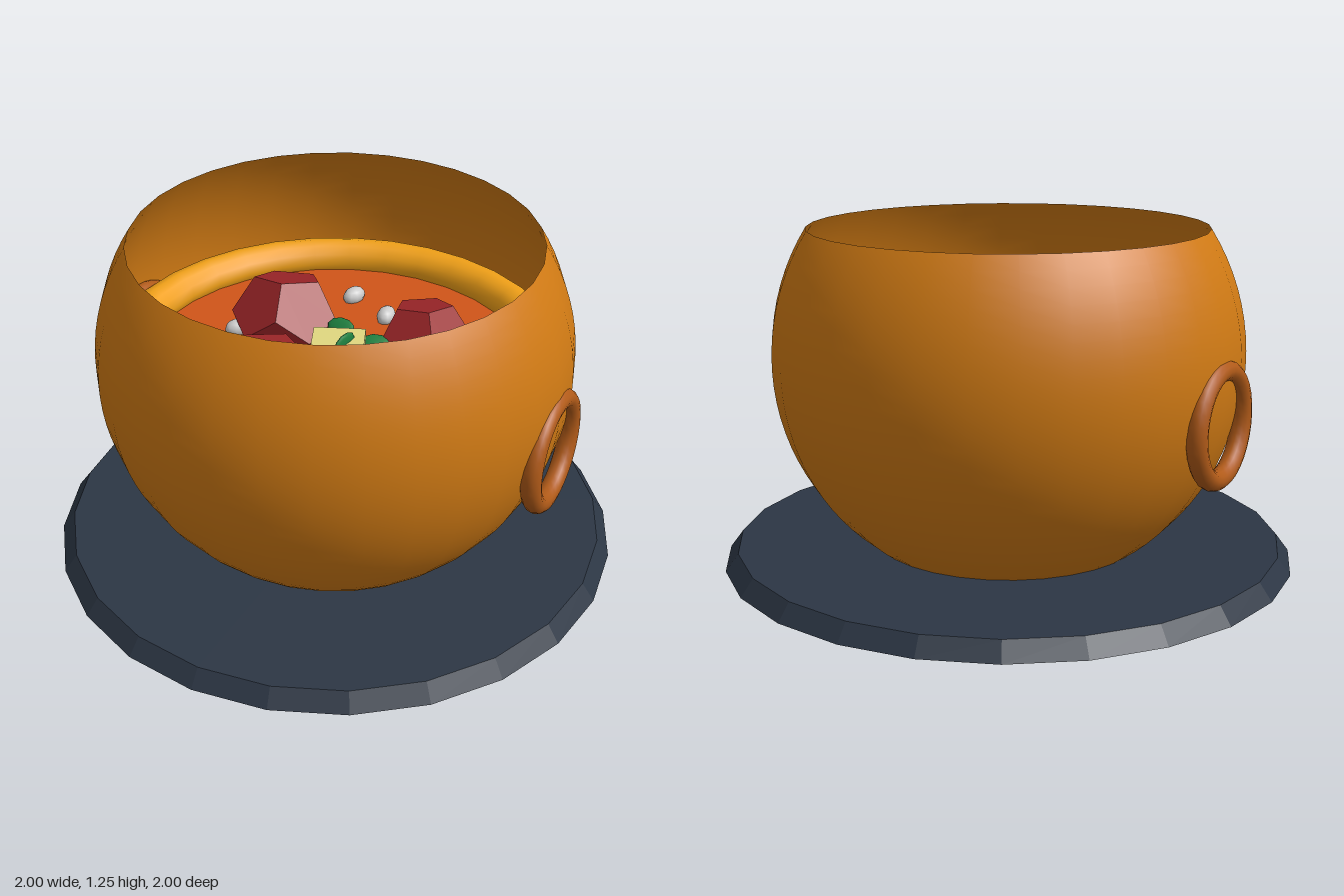
import * as THREE from 'three';

function mat(color, opts = {}) {
  return new THREE.MeshStandardMaterial({ color, ...opts });
}

export function createModel() {
  const model = new THREE.Group();
  const add = (name, geometry, material, x = 0, y = 0, z = 0) => {
    const mesh = new THREE.Mesh(geometry, material);
    mesh.name = name;
    mesh.position.set(x, y, z);
    model.add(mesh);
    return mesh;
  };

  // Round pot: open thin shell, cut off above the equator
  const R = 0.815, centreY = 0.82, rimY = 1.26;
  const cut = Math.acos((rimY - centreY) / R);
  add('pot', new THREE.SphereGeometry(R, 32, 32, 0, Math.PI * 2, cut, Math.PI - cut),
    mat(0xd07a14, { side: THREE.DoubleSide }), 0, centreY, 0);

  // Saucer plate
  add('plate', new THREE.CylinderGeometry(0.955, 1, 0.06, 24),
    mat(0x2c3644, { flatShading: true }), 0, 0.13, 0);

  // Ring handles on both sides
  const handleMat = mat(0xb05a18);
  for (const [name, s] of [['leftHandle', 1], ['rightHandle', -1]]) {
    add(name, new THREE.TorusGeometry(0.18, 0.035, 12, 32), handleMat, s * 0.797, 0.665, 0)
      .rotation.y = Math.PI / 2;
  }

  // Inner ring and soup surface
  add('innerRing', new THREE.TorusGeometry(0.735, 0.07, 12, 32), mat(0xf0a018), 0, 0.81, 0)
    .rotation.x = Math.PI / 2;
  add('soup', new THREE.CylinderGeometry(0.7, 0.7, 0.04, 32), mat(0xd05518), 0, 0.765, 0);

  // Meat chunks: x, z, radius, turn, tilt away from a level top face
  const meatMat = mat(0x9b2528, { flatShading: true });
  for (const [x, z, r, turn, tilt] of [
    [-0.27, -0.14, 0.2, 0.3, -0.3],
    [0.23, -0.23, 0.17, 0.6, -0.25],
    [-0.115, 0.265, 0.185, Math.PI, 0.1],
    [0.275, 0.175, 0.17, 0.5, -0.3],
  ]) {
    add('meatChunk', new THREE.DodecahedronGeometry(r), meatMat, x, 0.8, z)
      .rotation.set(-0.554 + tilt, turn, 0, 'YXZ');
  }

  // Floating grains: x, z, turn
  const grainMat = mat(0xcccccc);
  const grainGeo = new THREE.SphereGeometry(1, 10, 8);
  for (const [x, z, turn] of [
    [-0.33, -0.38, 0.9], [-0.14, -0.42, 1.3], [0.03, -0.34, 1.7], [-0.43, -0.2, 0.4],
    [-0.4, -0.02, 0.8], [-0.26, 0.09, -0.3], [0.28, -0.08, -0.2], [0.36, 0, 0],
    [0.44, 0.18, 0.8], [0.35, 0.36, 0.7], [0.16, 0.42, 1.2],
  ]) {
    const grain = add('grain', grainGeo, grainMat, x, 0.8, z);
    grain.scale.set(0.048, 0.033, 0.033);
    grain.rotation.y = turn;
  }

  // Pale cube in the middle
  add('cheeseCube', new THREE.BoxGeometry(0.18, 0.12, 0.18), mat(0xe0d880), 0.02, 0.82, 0.02)
    .rotation.y = 0.4;

  // Herb leaves: x, y, z, turn, tilt
  const leafMat = mat(0x1e8040);
  for (const [x, y, z, turn, tilt] of [
    [-0.03, 0.86, -0.1, 0.15, 0.7], [0.11, 0.84, -0.09, -0.2, 0.5], [0.045, 0.88, 0.02, 1.75, Math.PI / 2],
  ]) {
    const leaf = add('herbLeaf', new THREE.SphereGeometry(1, 10, 8), leafMat, x, y, z);
    leaf.scale.set(0.055, 0.01, 0.035);
    leaf.rotation.set(tilt, -turn, 0, 'YXZ');
  }

  return model;
}
